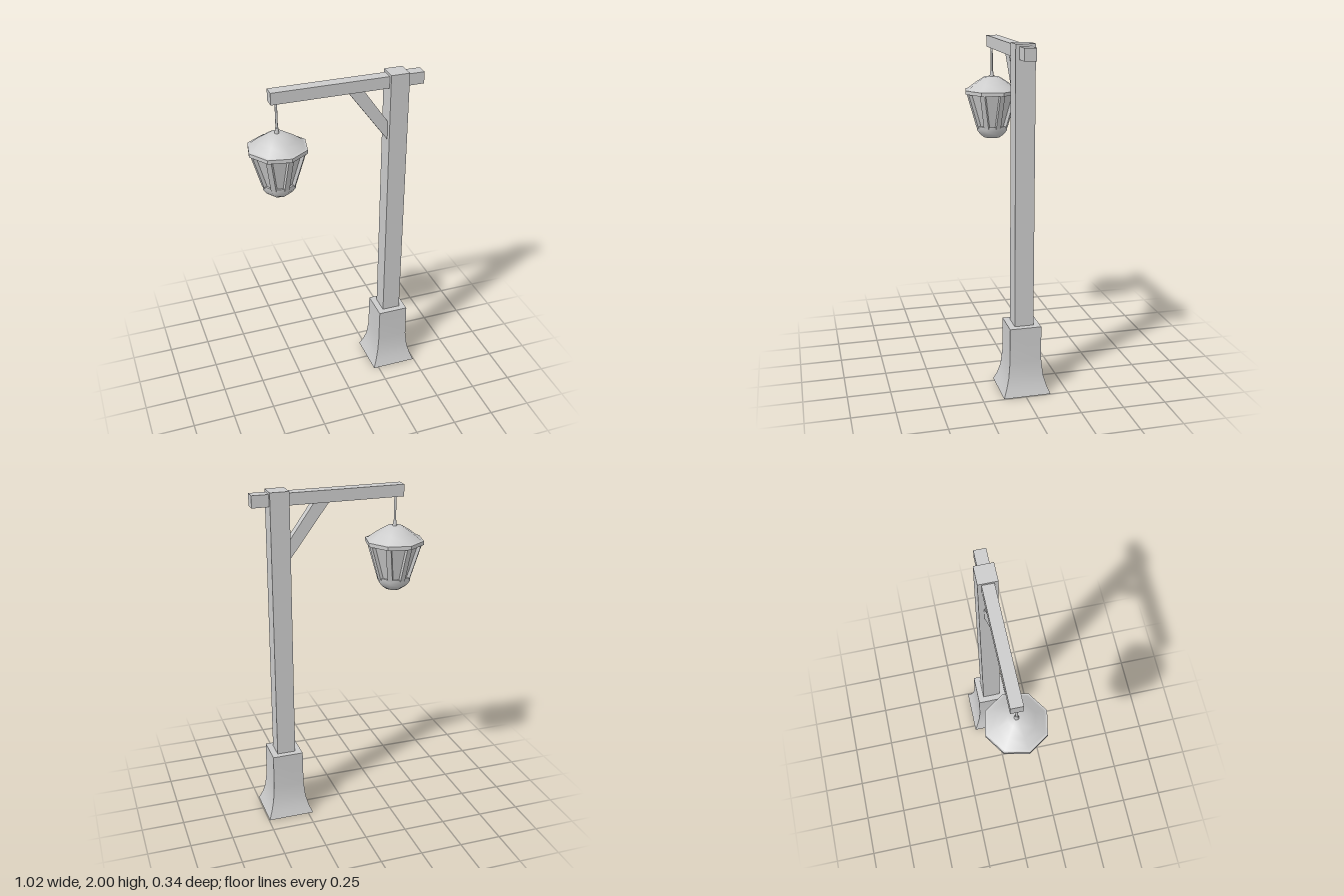
import * as THREE from 'three';
import { toCreasedNormals } from 'three/addons/utils/BufferGeometryUtils.js';

const grey = new THREE.MeshStandardMaterial({ color: 0xcccccc });
const flat = new THREE.MeshStandardMaterial({ color: 0xcccccc, flatShading: true });
const DEG = Math.PI / 180;
const POST_X = 0.358, POST_Z = -0.009;
const LAMP_X = -0.34, TURN = 11.25 * DEG;

function add(parent, name, geometry, material = flat) {
  const mesh = new THREE.Mesh(geometry, material);
  mesh.name = name;
  parent.add(mesh);
  return mesh;
}

// Box given by its two extreme corners
function block(parent, name, [x0, y0, z0], [x1, y1, z1]) {
  const mesh = add(parent, name, new THREE.BoxGeometry(x1 - x0, y1 - y0, z1 - z0));
  mesh.position.set((x0 + x1) / 2, (y0 + y1) / 2, (z0 + z1) / 2);
  return mesh;
}

// Turned profile, listed bottom to top as [radius, height]
function lathe(profile, sides, start) {
  const points = profile.map(([r, y]) => new THREE.Vector2(r, y));
  return new THREE.LatheGeometry(points, sides, start);
}

function createLantern() {
  const lantern = new THREE.Group();
  lantern.name = 'lantern';

  // Hanging rod and its collar
  add(lantern, 'hangingRod', new THREE.CylinderGeometry(0.007, 0.007, 0.19, 8), grey).position.y = 1.845;
  add(lantern, 'rodCollar', new THREE.CylinderGeometry(0.009, 0.014, 0.035, 8), grey).position.y = 1.755;

  // Eight-sided roof with an overhanging rim
  add(lantern, 'roof', lathe([[0.17, 1.659], [0.155, 1.665], [0.105, 1.703], [0.048, 1.738], [0, 1.742]], 8, TURN), grey);
  add(lantern, 'roofRim', lathe([[0, 1.638], [0.174, 1.638], [0.174, 1.66], [0.15, 1.662]], 8, TURN));

  // Tapered panes set back between the corner bars
  add(lantern, 'panes', lathe([[0.085, 1.43], [0.148, 1.645]], 8, TURN));

  const [topR, topY, lowR, lowY] = [0.152, 1.643, 0.088, 1.43];
  const length = Math.hypot(topR - lowR, topY - lowY);
  for (let i = 0; i < 8; i++) {
    const arm = new THREE.Group();
    arm.name = 'cornerBar';
    arm.rotation.y = TURN + i * 45 * DEG;
    const bar = add(arm, 'bar', new THREE.BoxGeometry(0.02, length, 0.03));
    bar.position.set((topR + lowR) / 2, (topY + lowY) / 2, 0);
    bar.rotation.z = -Math.atan2(topR - lowR, topY - lowY);
    lantern.add(arm);
  }

  // Rounded cup closing the bottom
  const cup = lathe([[0, 1.362], [0.05, 1.364], [0.078, 1.385], [0.099, 1.412], [0.1, 1.438], [0, 1.438]], 8, TURN);
  add(lantern, 'bottomCup', toCreasedNormals(cup, 55 * DEG), grey);

  lantern.position.x = LAMP_X;
  return lantern;
}

export function createModel() {
  const model = new THREE.Group();
  model.name = 'lampPost';

  // Square flared foot: half widths at each height
  const foot = [[0, 0], [0.138, 0], [0.118, 0.05], [0.102, 0.11], [0.093, 0.2], [0.0915, 0.405], [0, 0.405]];
  const footGeometry = lathe(foot.map(([half, y]) => [half * Math.SQRT2, y]), 4, Math.PI / 4);
  const base = add(model, 'base', toCreasedNormals(footGeometry, 35 * DEG), grey);
  base.position.set(POST_X, 0, POST_Z);

  // Upright and the beam running through its top
  block(model, 'post', [POST_X - 0.055, 0.38, POST_Z - 0.055], [POST_X + 0.055, 2, POST_Z + 0.055]);
  block(model, 'beam', [-0.375, 1.918, POST_Z - 0.034], [0.51, 1.987, POST_Z + 0.034]);

  // Diagonal brace, cut flush against beam and post
  const outline = new THREE.Shape([[0.068, 1.918], [0.303, 1.603], [0.303, 1.714], [0.158, 1.918]]
    .map(([x, y]) => new THREE.Vector2(x, y)));
  const brace = add(model, 'brace', new THREE.ExtrudeGeometry(outline, { depth: 0.05, bevelEnabled: false }));
  brace.position.z = POST_Z - 0.025;

  model.add(createLantern());
  return model;
}
